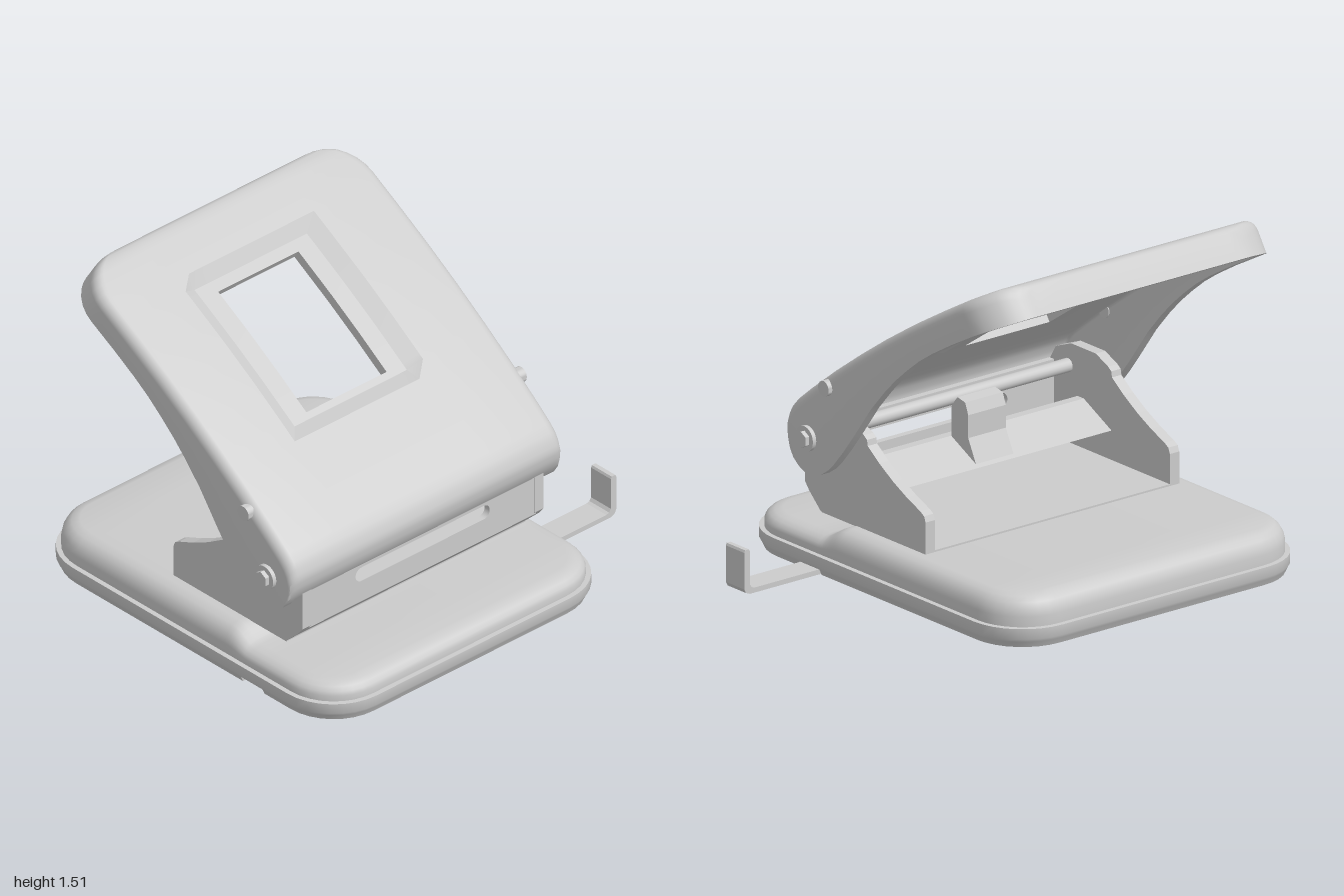
import * as THREE from 'three';
import { toCreasedNormals } from 'three/addons/utils/BufferGeometryUtils.js';

const material = new THREE.MeshStandardMaterial({ color: 0xcccccc, side: THREE.DoubleSide });
const MID = 0.195; // z of the symmetry plane of base and handle

function add(parent, name, geometry, x = 0, y = 0, z = 0) {
  const mesh = new THREE.Mesh(geometry, material);
  mesh.name = name;
  mesh.position.set(x, y, z);
  parent.add(mesh);
  return mesh;
}

// Collects quads and turns them into a geometry with kept edges
function quadBuilder() {
  const p = [];
  return {
    quad(a, b, c, d) { p.push(...a, ...b, ...c, ...a, ...c, ...d); },
    build(angle) {
      const g = new THREE.BufferGeometry();
      g.setAttribute('position', new THREE.Float32BufferAttribute(p, 3));
      return toCreasedNormals(g, angle);
    },
  };
}

// Smooth lookup through [x, y] points
function lookup(points, x) {
  if (x <= points[0][0]) return points[0][1];
  for (let i = 1; i < points.length; i++) {
    const [x0, y0] = points[i - 1], [x1, y1] = points[i];
    if (x <= x1) return y0 + (y1 - y0) * (x - x0) / (x1 - x0);
  }
  return points[points.length - 1][1];
}

function extrude(points, depth) {
  const shape = new THREE.Shape(points.map(([x, y]) => new THREE.Vector2(x, y)));
  return new THREE.ExtrudeGeometry(shape, { depth, bevelEnabled: false });
}

// Stacked rounded rectangles; the top steps down at one end, a groove runs below
function baseGeometry(rings, capBottom, capTop) {
  const straight = [-0.6, -0.3, 0, 0.25, 0.27, 0.29, 0.31, 0.33, 0.35, 0.3599, 0.36, 0.37, 0.39, 0.49, 0.4901, 0.6];
  const place = (x, y, z) => {
    if (y > 0.085) y = 0.085 + (y - 0.085) * (1 - 0.42 * THREE.MathUtils.smoothstep(x, 0.26, 0.39));
    if (x >= 0.36 && x <= 0.49) y = Math.max(y, 0.026);
    return [x, y, z];
  };
  const sides = rings.map(([inset, y]) => {
    const r = 0.26 - inset, w = 0.91 - inset, d = 0.805 - inset, half = [];
    for (let i = 0; i <= 8; i++) {
      const a = i / 8 * Math.PI / 2;
      half.push([-w + r - r * Math.cos(a), d - r + r * Math.sin(a)]);
    }
    const mirrored = half.map(([x, z]) => [-x, z]).reverse();
    const outline = [...half, ...straight.map(x => [x, d]), ...mirrored];
    return [1, -1].map(s => outline.map(([x, z]) => place(x, y, MID + s * z)));
  });
  const q = quadBuilder(), n = sides[0][0].length;
  for (let k = 0; k + 1 < sides.length; k++) {
    const [f0, b0] = sides[k], [f1, b1] = sides[k + 1];
    for (let i = 0; i + 1 < n; i++) {
      q.quad(f0[i], f0[i + 1], f1[i + 1], f1[i]);
      q.quad(b0[i + 1], b0[i], b1[i], b1[i + 1]);
    }
    for (const [i, s] of [[0, 1], [n - 1, -1]]) {
      if (s > 0) q.quad(b0[i], f0[i], f1[i], b1[i]);
      else q.quad(f0[i], b0[i], b1[i], f1[i]);
    }
  }
  const [fb, bb] = sides[0], [ft, bt] = sides[sides.length - 1];
  for (let i = 0; i + 1 < n; i++) {
    if (capTop) q.quad(ft[i], ft[i + 1], bt[i + 1], bt[i]);
    if (capBottom) q.quad(bb[i], bb[i + 1], fb[i + 1], fb[i]);
  }
  return q.build(0.6);
}

// Lever shell in its own tilted frame: u along the lever, v up, with a recessed window
function handleGeometry() {
  const U0 = -1.398, T = 0.045, R = 0.2;
  const top = [[-1.398, 0.875], [-1.392, 0.889], [-1.38, 0.9], [-1.35, 0.91], [-1.2, 0.921], [-1, 0.933], [-0.8, 0.941],
    [-0.6, 0.943], [-0.4, 0.939], [-0.2, 0.93], [0, 0.914], [0.1, 0.903], [0.14, 0.893], [0.17, 0.878], [0.205, 0.849], [0.225, 0.81], [0.236, 0.774]];
  const bottom = [[-1.39, 0.753], [-1.217, 0.771], [-0.989, 0.788], [-0.85, 0.791], [-0.751, 0.786], [-0.554, 0.758], [-0.377, 0.709],
    [-0.17, 0.632], [-0.06, 0.595], [0.02, 0.573], [0.084, 0.567], [0.13, 0.573], [0.167, 0.586], [0.195, 0.606], [0.22, 0.642], [0.236, 0.69]];
  const us = [U0, -1.396, -1.392, -1.38, -1.365, -1.35, -1.32, -1.28, -1.24, -1.2, -1.153, -1.09, -1.037, -0.9, -0.8, -0.7, -0.6, -0.5,
    -0.406, -0.375, -0.307, -0.2, -0.1, 0, 0.05, 0.1, 0.14, 0.17, 0.19, 0.205, 0.215, 0.225, 0.236];
  const zs = [-0.18, -0.11, -0.02, 0.43, 0.52, 0.59].map(z => z - MID);
  const window = { u0: -1.037, u1: -0.406, z0: zs[2], z1: zs[3] };
  const dent = (u, z) => 0.04 * Math.min(lookup([[-1.153, 0], [-1.09, 1], [-0.375, 1], [-0.307, 0]], u),
    lookup([[zs[0], 0], [zs[1], 1], [zs[4], 1], [zs[5], 0]], z));

  const section = (u, inset) => {
    const r = 0.05 - inset * 0.8, rc = R - inset;
    if (u < U0 + R) u = U0 + inset + (u - U0) * rc / R;
    const du = Math.max(0, rc - (u - U0 - inset));
    const h = 0.76 - inset - rc + Math.sqrt(Math.max(0, rc * rc - du * du));
    const t = lookup(top, u) - inset, low = lookup(bottom, u), pts = [[u, low, MID - h]];
    for (let i = 0; i <= 5; i++) {
      const a = i / 5 * Math.PI / 2;
      pts.push([u, t - r + r * Math.sin(a), MID - h + r - r * Math.cos(a)]);
    }
    const right = pts.map(([a, b, c]) => [a, b, 2 * MID - c]).reverse();
    return [...pts, ...zs.map(z => [u, t - dent(u, z), MID + z]), ...right];
  };
  const outer = us.map(u => section(u, 0)), inner = us.map(u => section(u, T));
  const q = quadBuilder(), n = outer[0].length, last = us.length - 1;
  const open = (i, j) => {
    if (i < 0 || i >= last) return false;
    const z = (outer[i][j][2] + outer[i][j + 1][2]) / 2 - MID, u = (us[i] + us[i + 1]) / 2;
    return u > window.u0 && u < window.u1 && z > window.z0 && z < window.z1;
  };
  for (let i = 0; i < last; i++) {
    for (let j = 0; j + 1 < n; j++) {
      const o = [outer[i][j], outer[i][j + 1], outer[i + 1][j + 1], outer[i + 1][j]];
      const s = [inner[i][j], inner[i][j + 1], inner[i + 1][j + 1], inner[i + 1][j]];
      if (!open(i, j)) {
        q.quad(...o);
        q.quad(s[3], s[2], s[1], s[0]);
        continue;
      }
      // Walls of the window
      q.quad(o[0], o[3], s[3], s[0]);
      q.quad(o[2], o[1], s[1], s[2]);
      if (!open(i - 1, j)) q.quad(o[1], o[0], s[0], s[1]);
      if (!open(i + 1, j)) q.quad(o[3], o[2], s[2], s[3]);
    }
    // Lower rims
    q.quad(outer[i][0], outer[i + 1][0], inner[i + 1][0], inner[i][0]);
    q.quad(outer[i + 1][n - 1], outer[i][n - 1], inner[i][n - 1], inner[i + 1][n - 1]);
  }
  // Closed tip wall and the rear edge
  const drop = (row, j) => [row[j][0], row[0][1], row[j][2]];
  for (let j = 0; j + 1 < n; j++) {
    const a = outer[0], b = inner[0];
    q.quad(drop(a, j), drop(a, j + 1), a[j + 1], a[j]);
    q.quad(b[j], b[j + 1], drop(b, j + 1), drop(b, j));
    q.quad(drop(a, j + 1), drop(a, j), drop(b, j), drop(b, j + 1));
    q.quad(outer[last][j], outer[last][j + 1], inner[last][j + 1], inner[last][j]);
  }
  return q.build(0.5);
}

export function createModel() {
  const model = new THREE.Group();

  // Base: lower tray and rounded cover
  add(model, 'baseTray', baseGeometry([[0.02, 0], [0.008, 0.026], [0, 0.04], [0, 0.085], [0.03, 0.086]], true, true));
  add(model, 'baseCover', baseGeometry([[0.022, 0.085], [0.022, 0.13], [0.028, 0.16], [0.043, 0.186], [0.065, 0.205], [0.1, 0.215]], false, true));

  // Sliding paper guide with upturned end, drawn in (-z, y)
  const guide = extrude([[-0.95, 0.004], [0.97, 0.004], [0.99, 0.012], [1, 0.03], [1, 0.19], [0.995, 0.2], [0.975, 0.2], [0.97, 0.19],
    [0.97, 0.045], [0.96, 0.031], [0.945, 0.026], [-0.95, 0.026]], 0.12);
  add(model, 'paperGuide', guide, 0.362).rotation.y = Math.PI / 2;

  // Bracket: floor, two cheeks, slotted back plate
  add(model, 'bracketFloor', new THREE.BoxGeometry(0.68, 0.014, 1.34), 0.16, 0.216, MID);
  const cheek = extrude([[-0.18, 0.215], [0.5, 0.215], [0.575, 0.285], [0.603, 0.32], [0.603, 0.55], [0.56, 0.62], [0.46, 0.66], [0.3, 0.66],
    [0.22, 0.625], [0.2, 0.61], [0.195, 0.585], [0.12, 0.53], [0.03, 0.475], [-0.06, 0.43], [-0.145, 0.395], [-0.17, 0.38], [-0.18, 0.355]], 0.05);
  for (const z of [-0.48, 0.82]) add(model, 'bracketCheek', cheek, 0, 0, z);
  const plate = new THREE.Shape([[-0.635, 0.31], [0.635, 0.31], [0.635, 0.56], [-0.635, 0.56]].map(p => new THREE.Vector2(...p)));
  const slot = new THREE.Path();
  slot.absarc(0.343, 0.443, 0.033, -Math.PI / 2, Math.PI / 2, false);
  slot.absarc(-0.343, 0.443, 0.033, Math.PI / 2, Math.PI * 1.5, false);
  plate.holes.push(slot);
  const back = new THREE.ExtrudeGeometry(plate, { depth: 0.03, bevelEnabled: false });
  add(model, 'bracketBack', back, 0.57, 0, MID).rotation.y = Math.PI / 2;
  add(model, 'bracketSlope', extrude([[0.47, 0.215], [0.5, 0.215], [0.6, 0.31], [0.57, 0.315]], 1.27), 0, 0, MID - 0.635);

  // Inner pressing plate and spring clip
  add(model, 'pressPlate', extrude([[0.18, 0.36], [0.21, 0.35], [0.4, 0.42], [0.4, 0.45], [0.36, 0.45]], 1.22), 0, 0, MID - 0.61);
  add(model, 'springClip', extrude([[0.2, 0.37], [0.36, 0.43], [0.36, 0.58], [0.32, 0.63], [0.27, 0.62], [0.25, 0.57], [0.25, 0.47]], 0.2), 0, 0, 0.1);

  // Lever handle
  add(model, 'handle', handleGeometry()).rotation.z = -Math.atan2(0.545, 0.838);

  // Pivot bolts and rivets on both sides
  const pin = (name, r, length, sides, x, y, z) => {
    add(model, name, toCreasedNormals(new THREE.CylinderGeometry(r, r, length, sides), 0.6), x, y, z).rotation.x = Math.PI / 2;
  };
  pin('pivotRod', 0.03, 1.5, 16, 0.48, 0.56, MID);
  for (const s of [-1, 1]) {
    pin('pivotWasher', 0.055, 0.02, 28, 0.48, 0.56, MID + s * 0.768);
    pin('pivotBolt', 0.036, 0.04, 6, 0.48, 0.56, MID + s * 0.778);
    pin('rivet', 0.034, 0.07, 24, 0.355, 0.815, MID + s * 0.745);
  }
  return model;
}
